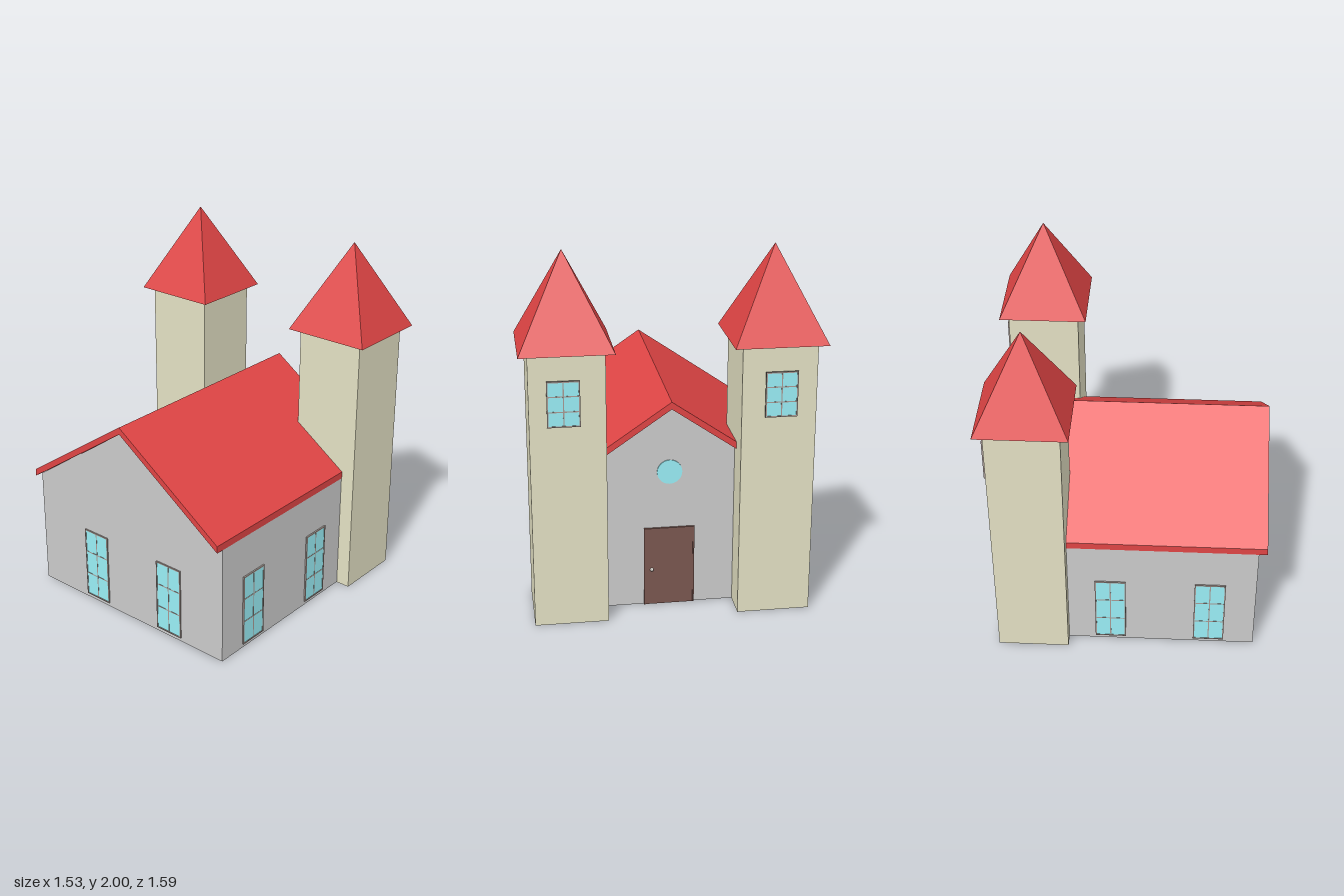
import * as THREE from 'three';

const mat = (color) => new THREE.MeshStandardMaterial({ color, flatShading: true });
const wallMat = mat(0xcccccc);
const towerMat = mat(0xe4e1c4);
const roofMat = mat(0xe04545);
const glassMat = mat(0x9aeff7);
const frameMat = mat(0xa89a94);
const doorMat = mat(0x7b5750);
const knobMat = mat(0xe8e4dc);

function add(parent, name, geometry, material, x = 0, y = 0, z = 0) {
  const mesh = new THREE.Mesh(geometry, material);
  mesh.name = name;
  mesh.position.set(x, y, z);
  parent.add(mesh);
  return mesh;
}

// Extrudes a (z, y) outline along x from x0 to x1
function extrudeAlongX(points, x0, x1) {
  const shape = new THREE.Shape(points.map(([a, b]) => new THREE.Vector2(a, b)));
  const geometry = new THREE.ExtrudeGeometry(shape, { depth: x1 - x0, bevelEnabled: false });
  return geometry.rotateY(Math.PI / 2).translate(x0, 0, 0);
}

// Glazed window facing local +z: pane, border and glazing bars
function makeWindow(name, w, h) {
  const g = new THREE.Group();
  g.name = name;
  const t = 0.007, bar = 0.006, depth = 0.011;
  add(g, 'glass', new THREE.BoxGeometry(w - t, h - t, 0.006), glassMat);
  for (const s of [-1, 1]) {
    add(g, 'frameSide', new THREE.BoxGeometry(t, h, depth), frameMat, s * (w - t) / 2);
    add(g, 'frameRail', new THREE.BoxGeometry(w - 2 * t, t, depth), frameMat, 0, s * (h - t) / 2);
    add(g, 'crossBar', new THREE.BoxGeometry(w - 2 * t, bar, 0.008), frameMat, 0, s * h / 6);
  }
  add(g, 'uprightBar', new THREE.BoxGeometry(bar, h - 2 * t, 0.008), frameMat);
  return g;
}

export function createModel() {
  const model = new THREE.Group();
  model.name = 'church';

  const midZ = -0.004, half = 0.67, eave = 0.685, peak = 1.148, thick = 0.04;
  const rear = -0.725, facade = 0.555;

  // Nave with gabled ends
  const nave = [[-half, 0.002], [half, 0.002], [half, eave], [0, peak], [-half, eave]];
  add(model, 'naveWalls', extrudeAlongX(nave, rear, facade), wallMat, 0, 0, midZ);

  // Chevron roof slab overhanging both gables
  const slab = [[-half - 0.002, eave], [0, peak], [half + 0.002, eave],
    [half + 0.002, eave + thick], [0, peak + thick], [-half - 0.002, eave + thick]];
  add(model, 'naveRoof', extrudeAlongX(slab, -0.77, 0.6), roofMat, 0, 0, midZ);

  const place = (win, x, y, z, turn) => {
    win.position.set(x, y, z);
    win.rotation.y = turn;
    model.add(win);
  };

  // Long-wall windows, both sides
  for (const side of [1, -1]) {
    for (const x of [-0.47, 0.085]) {
      place(makeWindow('naveWindow', 0.172, 0.42), x, 0.235, midZ + side * (half + 0.003),
        side > 0 ? 0 : Math.PI);
    }
  }

  // Rear gable windows
  for (const z of [-0.25, 0.29]) {
    place(makeWindow('rearWindow', 0.172, 0.42), rear - 0.002, 0.235, z, -Math.PI / 2);
  }

  // Entrance door with frame and knob
  add(model, 'door', new THREE.BoxGeometry(0.016, 0.445, 0.264), doorMat, facade, 0.2245, 0.002);
  for (const s of [-1, 1]) {
    add(model, 'doorJamb', new THREE.BoxGeometry(0.024, 0.455, 0.008), doorMat, facade, 0.2295, 0.002 + s * 0.134);
  }
  add(model, 'doorLintel', new THREE.BoxGeometry(0.024, 0.01, 0.264), doorMat, facade, 0.452, 0.002);
  add(model, 'doorKnob', new THREE.SphereGeometry(0.01, 12, 8), knobMat, facade + 0.014, 0.213, 0.098);

  // Round gable window
  add(model, 'roundWindow', new THREE.CylinderGeometry(0.068, 0.068, 0.012, 32).rotateZ(Math.PI / 2),
    glassMat, facade, 0.78, 0);

  // Twin towers with pyramid roofs
  for (const side of [1, -1]) {
    const tower = new THREE.Group();
    tower.name = side > 0 ? 'frontTower' : 'backTower';
    tower.position.set(0.52, 0, side * 0.549);
    add(tower, 'towerWalls', new THREE.BoxGeometry(0.395, 1.51, 0.395), towerMat, 0, 0.755, 0);
    const spire = new THREE.ConeGeometry(0.245 * Math.SQRT2, 0.49, 4).rotateY(Math.PI / 4);
    add(tower, 'towerRoof', spire, roofMat, 0, 1.755, 0);
    const win = makeWindow('towerWindow', 0.17, 0.245);
    win.position.set(0.22, 1.253, side * 0.006 + 0.015 * (side > 0 ? 1 : 0));
    win.rotation.y = Math.PI / 2;
    tower.add(win);
    model.add(tower);
  }

  return model;
}
